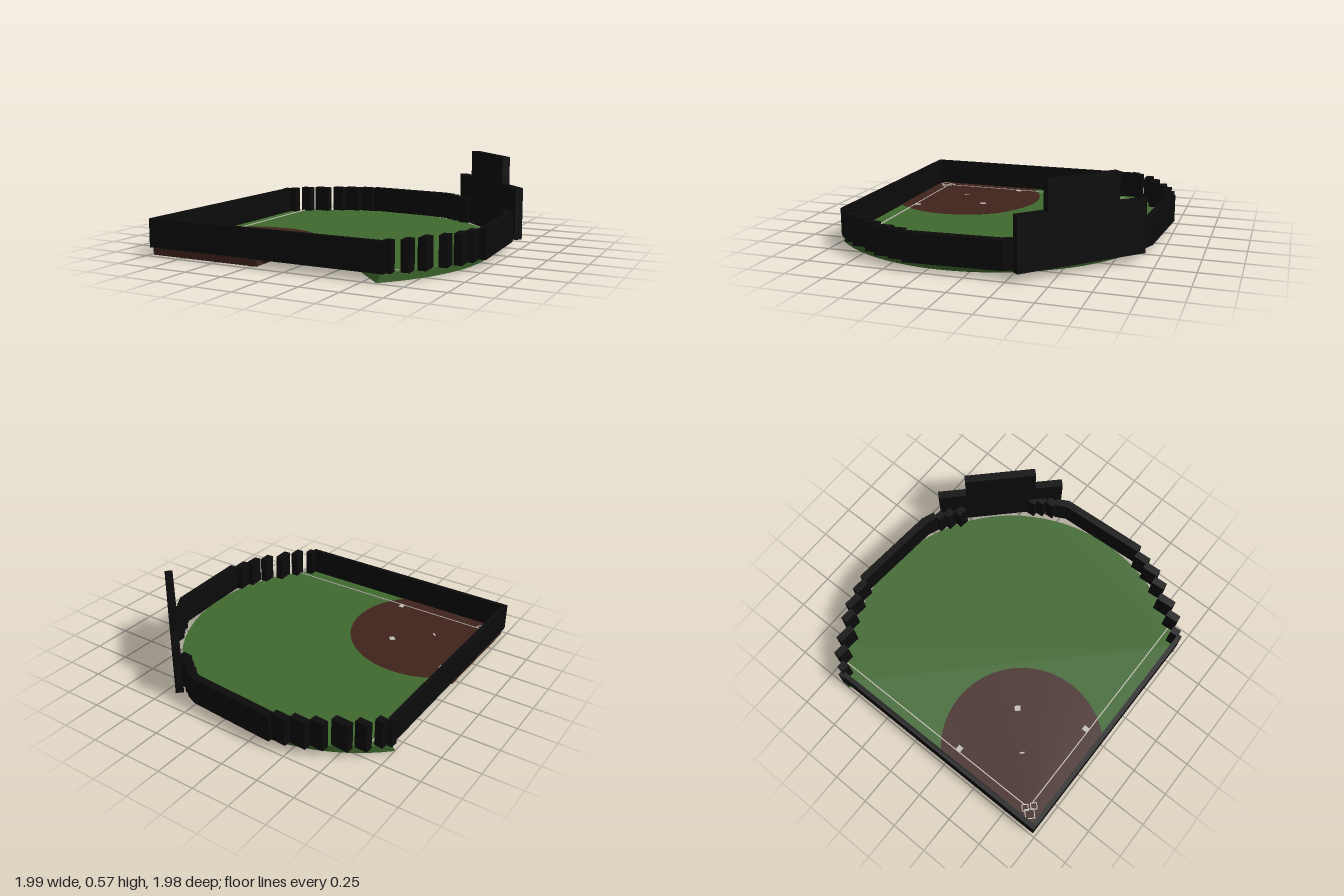
import * as THREE from 'three';

const mat = (color) => new THREE.MeshStandardMaterial({ color, flatShading: true });
const GRASS = mat(0x3f692e), DIRT = mat(0x40231c), WALL = mat(0x0b0b0b), WHITE = mat(0xc0bcb4);

// Point on an arc that bulges towards the far corner (+x, -z); t runs from -PI/2 to PI/2
function arcPoint(cx, cz, r, t, y) {
  const u = r * Math.cos(t) * Math.SQRT1_2, v = r * Math.sin(t) * Math.SQRT1_2;
  return [cx + u - v, y, cz - u - v];
}

function arc(cx, cz, r, y, n, radius = () => 1) {
  return Array.from({ length: n + 1 }, (_, i) => {
    const t = -Math.PI / 2 + (Math.PI * i) / n;
    return arcPoint(cx, cz, r * radius(t), t, y);
  });
}

// Closed slab between two matching counter-clockwise outlines
function slab(top, bottom) {
  const p = [], n = top.length;
  for (let i = 0; i < n; i++) {
    const j = (i + 1) % n;
    p.push(top[i], bottom[i], bottom[j], top[i], bottom[j], top[j]);
    if (i > 0 && i < n - 1) p.push(top[0], top[i], top[j], bottom[0], bottom[j], bottom[i]);
  }
  const g = new THREE.BufferGeometry();
  g.setAttribute('position', new THREE.Float32BufferAttribute(p.flat(), 3));
  g.computeVertexNormals();
  return g;
}

export function createModel() {
  const model = new THREE.Group();
  const add = (name, geometry, material, parent = model) => {
    const m = new THREE.Mesh(geometry, material);
    m.name = name;
    parent.add(m);
    return m;
  };
  const group = (name) => {
    const g = new THREE.Group();
    g.name = name;
    model.add(g);
    return g;
  };
  // Upright box running between two ground points
  const run = (name, x1, z1, x2, z2, thick, y0, y1, material, parent) => {
    const dx = x2 - x1, dz = z2 - z1;
    const m = add(name, new THREE.BoxGeometry(Math.hypot(dx, dz), y1 - y0, thick), material, parent);
    m.position.set((x1 + x2) / 2, (y0 + y1) / 2, (z1 + z2) / 2);
    m.rotation.y = -Math.atan2(dz, dx);
    return m;
  };

  // Outfield: half disc whose underside is shifted towards home
  add('outfield', slab(arc(-0.19, 0.175, 1.12, 0.06, 40), arc(-0.21, 0.195, 1.12, 0.008, 40)), GRASS);

  // Infield: thin triangle out to the home corner
  const tri = (y) => [[-0.98, y, 0.967], [0.602, y, 0.967], [-0.98, y, -0.617]];
  add('infield', slab(tri(0.06), tri(0.054)), GRASS);

  // Dirt: rounded on top, square underneath
  const square = (t) => 1 / (Math.abs(Math.cos(t)) + Math.abs(Math.sin(t)));
  const under = arc(-0.59, 0.58, 0.535, 0.01, 24, square);
  under.forEach((p, i) => { p[1] += 0.01 * Math.sin((Math.PI * i) / 24); });
  add('infieldDirt', slab(
    [[-0.972, 0.063, 0.965], ...arc(-0.59, 0.58, 0.535, 0.063, 24)],
    [[-0.972, 0.01, 0.965], ...under]), DIRT);

  // Straight walls along the two foul sides
  const walls = group('walls');
  const wall = (name, x1, z1, x2, z2, t = 0.05) => run(name, x1, z1, x2, z2, t, 0.058, 0.24, WALL, walls);
  wall('sideWall', -0.973, -0.61, -0.973, 0.98, 0.03);
  wall('frontWall', -0.985, 0.965, 0.61, 0.965, 0.03);

  // Stepped outfield walls: [x, z, half length]
  const backSteps = [[-0.985, -0.61, 0.015], [-0.935, -0.65, 0.028], [-0.865, -0.73, 0.042],
    [-0.76, -0.79, 0.058], [-0.65, -0.86, 0.045], [-0.55, -0.905, 0.055], [-0.44, -0.94, 0.05],
    [0.305, -0.86, 0.03], [0.36, -0.82, 0.03], [0.425, -0.77, 0.035]];
  const sideSteps = [[0.595, 0.965, 0.015], [0.625, 0.925, 0.028], [0.705, 0.85, 0.042],
    [0.768, 0.75, 0.058], [0.842, 0.64, 0.045], [0.895, 0.54, 0.055], [0.925, 0.44, 0.05],
    [0.875, -0.31, 0.03], [0.843, -0.375, 0.03], [0.805, -0.43, 0.035]];
  for (const [x, z, h] of backSteps) wall('backWallStep', x - h, z - 0.08 * h, x + h, z + 0.08 * h);
  for (const [x, z, h] of sideSteps) wall('rightWallStep', x - 0.05 * h, z - h, x + 0.05 * h, z + h);
  wall('backWall', -0.39, -0.965, 0.215, -0.917);
  wall('backWallEnd', 0.2, -0.919, 0.285, -0.885);
  wall('rightWall', 0.965, 0.385, 0.935, -0.22);
  wall('rightWallEnd', 0.937, -0.205, 0.895, -0.285);

  // Tall scoreboard across the far corner
  const board = group('scoreboard');
  const panel = (name, h, y0, y1) => run(name, 0.667 - h, -0.605 - h, 0.667 + h, -0.605 + h, 0.052, y0, y1, WALL, board);
  panel('scoreboardBase', 0.304, 0.058, 0.395);
  panel('scoreboardTop', 0.169, 0.395, 0.578);

  // Foul lines
  const marks = group('markings');
  const line = (name, x1, z1, x2, z2, w = 0.007) => run(name, x1, z1, x2, z2, w, 0.055, 0.0655, WHITE, marks);
  line('foulLine', -0.88, -0.7, -0.88, 0.83);
  line('foulLine', -0.84, 0.86, 0.69, 0.86);

  // Bases and pitching plate
  line('base', -0.878, 0.27, -0.842, 0.27, 0.036);
  line('base', -0.256, 0.84, -0.222, 0.84, 0.04);
  line('base', -0.424, 0.386, -0.396, 0.414, 0.036);
  line('pitchingPlate', -0.638, 0.598, -0.614, 0.62, 0.01);

  // Diamond outlines around the home plate: [x, z, corner radius]
  for (const [x, z, r] of [[-0.905, 0.89, 0.042], [-0.893, 0.843, 0.028], [-0.85, 0.88, 0.028]]) {
    for (let i = 0; i < 4; i++) {
      const a = (i * Math.PI) / 2, b = a + Math.PI / 2;
      line('homeOutline', x + r * Math.cos(a), z + r * Math.sin(a), x + r * Math.cos(b), z + r * Math.sin(b), 0.006);
    }
  }
  return model;
}
